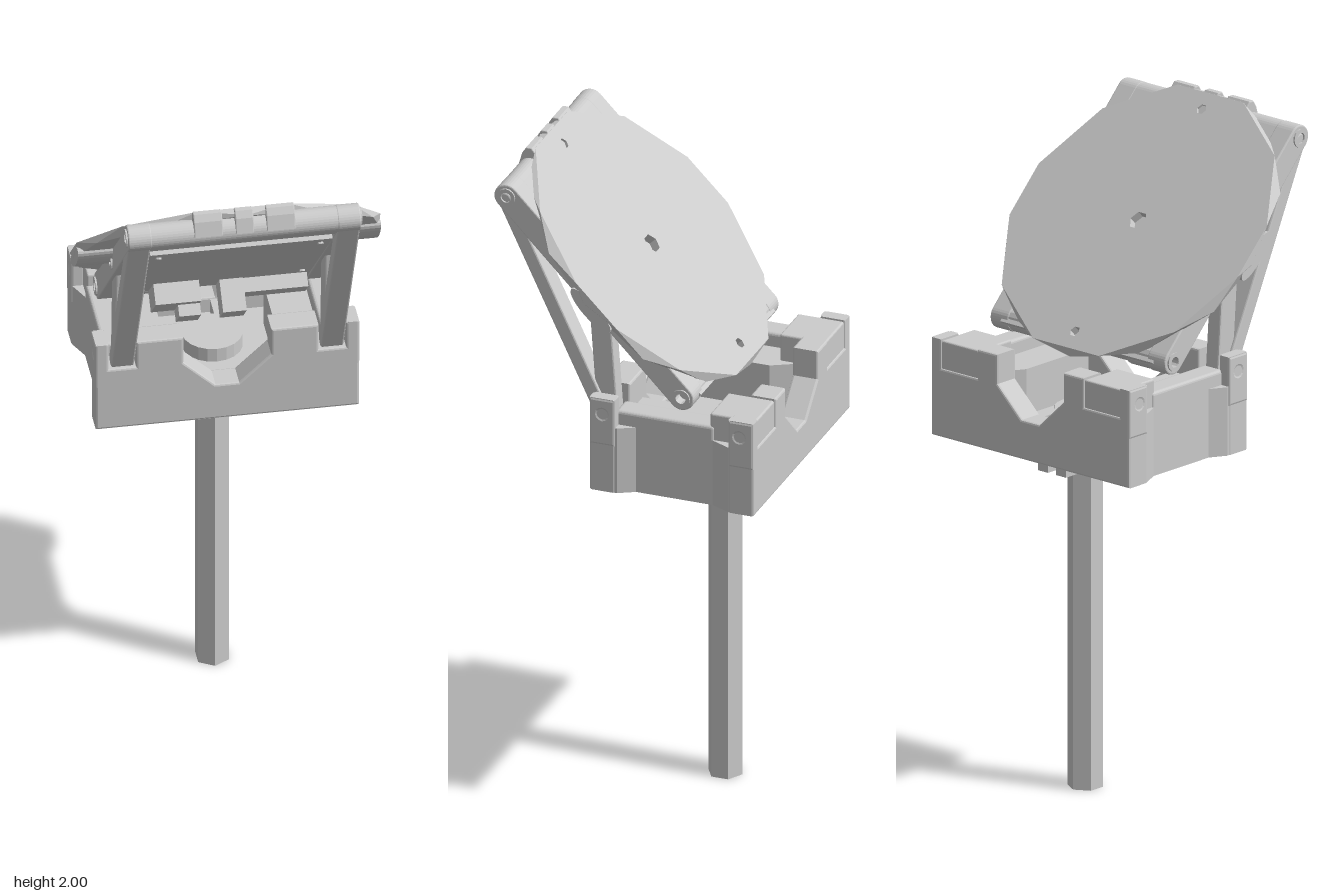
import * as THREE from 'three';
import { RoundedBoxGeometry } from 'three/addons/geometries/RoundedBoxGeometry.js';

const grey = new THREE.MeshStandardMaterial({ color: 0xcccccc, flatShading: true });

function add(parent, name, geometry) {
  const mesh = new THREE.Mesh(geometry, grey);
  mesh.name = name;
  parent.add(mesh);
}

const vectors = (pts) => pts.map(([a, b]) => new THREE.Vector2(a, b));

// Outlines always run counter-clockwise so that hole walls face the right way
function shapeOf(pts) {
  const v = vectors(pts);
  return new THREE.Shape(THREE.ShapeUtils.isClockWise(v) ? v.reverse() : v);
}

// Closed outline from its +x half
const mirrored = (half) => [...half, ...half.map(([x, y]) => [-x, y]).reverse()];

// Range along x, mirrored for the other side
const span = (s, a, b) => (s > 0 ? [a, b] : [-b, -a]);

function circleHole(shape, x, y, r, n) {
  shape.holes.push(new THREE.Path(vectors(Array.from({ length: n }, (_, i) => {
    const a = (-i / n) * Math.PI * 2;
    return [x + r * Math.cos(a), y + r * Math.sin(a)];
  }))));
}

function extrude(shape, depth, bevel = 0) {
  const g = new THREE.ExtrudeGeometry(shape, {
    depth: depth - 2 * bevel, bevelEnabled: bevel > 0, bevelSize: bevel,
    bevelThickness: bevel, bevelOffset: -bevel, bevelSegments: 2, curveSegments: 8,
  });
  return g.translate(0, 0, bevel);
}

// Profile in (z, y), extruded from x0 to x1
const sideExtrude = (shape, [x0, x1], bevel) =>
  extrude(shape, x1 - x0, bevel).rotateY(-Math.PI / 2).translate(x1, 0, 0);

// Plan in (x, z), extruded from y0 to y1
const planExtrude = (shape, y0, y1) =>
  extrude(shape, y1 - y0).rotateX(Math.PI / 2).translate(0, y1, 0);

const boxAt = ([x0, x1], y0, y1, z0, z1, r = 0) => {
  const s = [x1 - x0, y1 - y0, z1 - z0];
  const g = r ? new RoundedBoxGeometry(...s, 2, r) : new THREE.BoxGeometry(...s);
  return g.translate((x0 + x1) / 2, (y0 + y1) / 2, (z0 + z1) / 2);
};

// Round-ended bar between two (z, y) points
function capsule(a, b, w) {
  const ang = Math.atan2(b[1] - a[1], b[0] - a[0]);
  const s = new THREE.Shape();
  s.absarc(a[0], a[1], w / 2, ang + Math.PI / 2, ang + Math.PI * 1.5, false);
  s.absarc(b[0], b[1], w / 2, ang - Math.PI / 2, ang + Math.PI / 2, false);
  return s;
}

function buildPost(root) {
  add(root, 'post', new THREE.CylinderGeometry(0.053, 0.053, 1.04, 6).translate(0, 0.52, -0.175));
  add(root, 'collar', new THREE.CylinderGeometry(0.1, 0.1, 0.08, 6).scale(0.9, 1, 1.04).translate(0, 1.03, -0.175));
  for (const s of [-1, 1]) {
    const tab = shapeOf([[-0.22, 0.99], [-0.22, 1.06], [-0.32, 1.06], [-0.32, 0.99]]);
    circleHole(tab, -0.285, 1.02, 0.014, 8);
    add(root, 'clampTab', sideExtrude(tab, span(s, 0.015, 0.055)));
  }
}

function buildHousing(root) {
  const housing = new THREE.Group();
  housing.name = 'housing';
  root.add(housing);

  // Floor with waisted sides and a square pocket underneath
  const waist = [[0.388, 0.097], [0.388, 0.015], [0.36, -0.035], [0.36, -0.275], [0.388, -0.335], [0.388, -0.41]];
  const floor = shapeOf(mirrored(waist));
  floor.holes.push(new THREE.Path(vectors([[0.19, -0.09], [0.34, -0.09], [0.34, -0.24], [0.19, -0.24]])));
  add(housing, 'floor', planExtrude(floor, 1.05, 1.12));
  add(housing, 'socket', new THREE.CylinderGeometry(0.09, 0.09, 0.05, 20).translate(0, 1.14, -0.175));

  // End walls with leg notches and a central V cut
  const wall = (inner) => shapeOf(mirrored([
    [0.39, 1.05], [0.39, 1.35], [0.352, 1.35], [0.352, 1.26], [inner, 1.26], [inner, 1.35],
    [0.13, 1.35], [0.13, 1.26], [0.035, 1.17],
  ]));
  add(housing, 'frontWall', extrude(wall(0.27), 0.08, 0.006).translate(0, 0, 0.02));
  add(housing, 'backWall', extrude(wall(0.21), 0.08, 0.006).translate(0, 0, -0.415));

  for (const s of [-1, 1]) {
    // Side wall follows the waisted plan, its inner edge flaring at the back
    const plan = [[0.165, 0.05], ...waist.map(([x, z]) => [x, Math.max(-0.36, Math.min(z, 0.05))]),
      [0.21, -0.36], [0.21, -0.33], [0.165, -0.25]];
    add(housing, 'sideWall', planExtrude(shapeOf(plan.map(([x, z]) => [s * x, z])), 1.1, 1.26));
    add(housing, 'sill', boxAt(span(s, 0.285, 0.36), 1.2, 1.305, -0.28, 0.03, 0.01));
    add(housing, 'backPad', boxAt(span(s, 0.208, 0.356), 1.15, 1.345, -0.41, -0.265, 0.006));
    add(housing, 'socketRib', boxAt(span(s, 0.02, 0.05), 1.1, 1.165, -0.34, -0.2));
    // Corner towers with cross holes
    for (const [z0, z1, hole] of [[0.02, 0.1, 0.06], [-0.415, -0.335, -0.37]]) {
      const tower = shapeOf([[z0, 1.2], [z1, 1.2], [z1, 1.35], [z0, 1.35]]);
      circleHole(tower, hole, 1.3, 0.015, 12);
      add(housing, 'cornerTower', sideExtrude(tower, span(s, 0.352, 0.392), 0.007));
    }
  }
}

function buildBraces(root) {
  const top = [0.378, 1.93], mid = [0.1, 1.655], low = [-0.17, 1.372];
  for (const s of [-1, 1]) {
    // Arm with recessed pivots
    const arm = capsule(low, top, 0.078);
    for (const [z, y] of [top, mid, low]) circleHole(arm, z, y, 0.02, 12);
    add(root, 'sideArm', sideExtrude(arm, span(s, 0.275, 0.345), 0.004));
    for (const [z, y] of [top, mid, low]) {
      const ring = new THREE.Shape().absarc(z, y, 0.028, 0, Math.PI * 2);
      circleHole(ring, z, y, 0.016, 12);
      add(root, 'pivotRing', sideExtrude(ring, span(s, 0.325, 0.35)));
    }
    add(root, 'frontLeg', sideExtrude(capsule([0.082, 1.285], [0.385, 1.92], 0.045), span(s, 0.277, 0.344), 0.005));
    add(root, 'strut', sideExtrude(capsule([0.066, 1.29], [0.092, 1.65], 0.066), span(s, 0.285, 0.335), 0.005));
    add(root, 'hingeBoss', new THREE.CylinderGeometry(0.037, 0.037, 0.12, 16)
      .rotateZ(Math.PI / 2).translate(s * 0.25, low[1], low[0]));
  }
  add(root, 'topBar', sideExtrude(capsule(top, [0.345, 1.897], 0.076), [-0.32, 0.32], 0.004));

  // Slotted catch over the middle of the top bar
  const catchProfile = shapeOf([[0.375, 2], [0.392, 2], [0.405, 1.98], [0.418, 1.935], [0.385, 1.92], [0.32, 1.93]]);
  for (const range of [[-0.15, -0.065], [-0.027, 0.027], [0.065, 0.15]])
    add(root, 'upperCatch', sideExtrude(catchProfile, range, 0.003));
}

function buildPanel(root) {
  // Local axes: y runs up the slope, z points to the underside
  const panel = new THREE.Group();
  panel.name = 'tiltedPanel';
  panel.position.set(0, 1.68, 0.055);
  panel.rotation.x = Math.PI / 4;
  root.add(panel);

  // Twelve-sided disc, its lower rim turned half a step and trimmed at the sides
  const t = 0.027;
  const half = [[0.13, 0.445], [0.34, 0.31], [0.45, 0.09], [0.45, -0.09], [0.34, -0.31], [0.13, -0.445]];
  const disc = shapeOf(mirrored(half));
  circleHole(disc, 0, 0, 0.03, 6);
  for (const y of [-0.39, 0.39]) circleHole(disc, 0, y, 0.017, 6);
  const g = extrude(disc, t);
  const p = g.attributes.position;
  for (let i = 0; i < p.count; i++) {
    const x = p.getX(i), y = p.getY(i);
    if (p.getZ(i) < t / 2 || Math.hypot(x, y) < 0.43) continue;
    const a = Math.atan2(y, x) + Math.PI / 12;
    p.setXY(i, THREE.MathUtils.clamp(0.46 * Math.cos(a), -0.45, 0.45), 0.46 * Math.sin(a));
  }
  g.computeVertexNormals();
  add(panel, 'disc', g);

  add(panel, 'backingPlate', boxAt([-0.3, 0.3], -0.41, 0.41, t + 0.001, 0.06));
  add(panel, 'slab', boxAt([-0.27, 0.27], -0.33, 0.32, 0.05, 0.097));
  for (const x of [-0.24, 0.24]) {
    for (const y of [-0.2, 0.27])
      add(panel, 'screw', new THREE.CylinderGeometry(0.009, 0.009, 0.008, 8).rotateX(Math.PI / 2).translate(x, y, 0.099));
    // Shallow rounded rib under each side of the disc
    add(panel, 'sideRib', new THREE.CylinderGeometry(0.085, 0.085, 0.12, 24)
      .rotateZ(Math.PI / 2).scale(1, 1, 0.3).translate(Math.sign(x) * 0.389, 0, 0.027));
  }

  // Latch blocks under the lower edge
  add(panel, 'latchBlock', boxAt([-0.2, -0.065], -0.33, -0.205, 0.09, 0.16));
  add(panel, 'latchBlock', boxAt([-0.13, -0.065], -0.33, -0.24, 0.1, 0.195));
  add(panel, 'latchBlock', boxAt([0, 0.07], -0.33, -0.24, 0.09, 0.195));
  add(panel, 'latchBlock', boxAt([0.07, 0.26], -0.33, -0.25, 0.09, 0.14));
}

export function createModel() {
  const root = new THREE.Group();
  root.name = 'tiltingPlatformOnPost';
  buildPost(root);
  buildHousing(root);
  buildBraces(root);
  buildPanel(root);
  return root;
}
